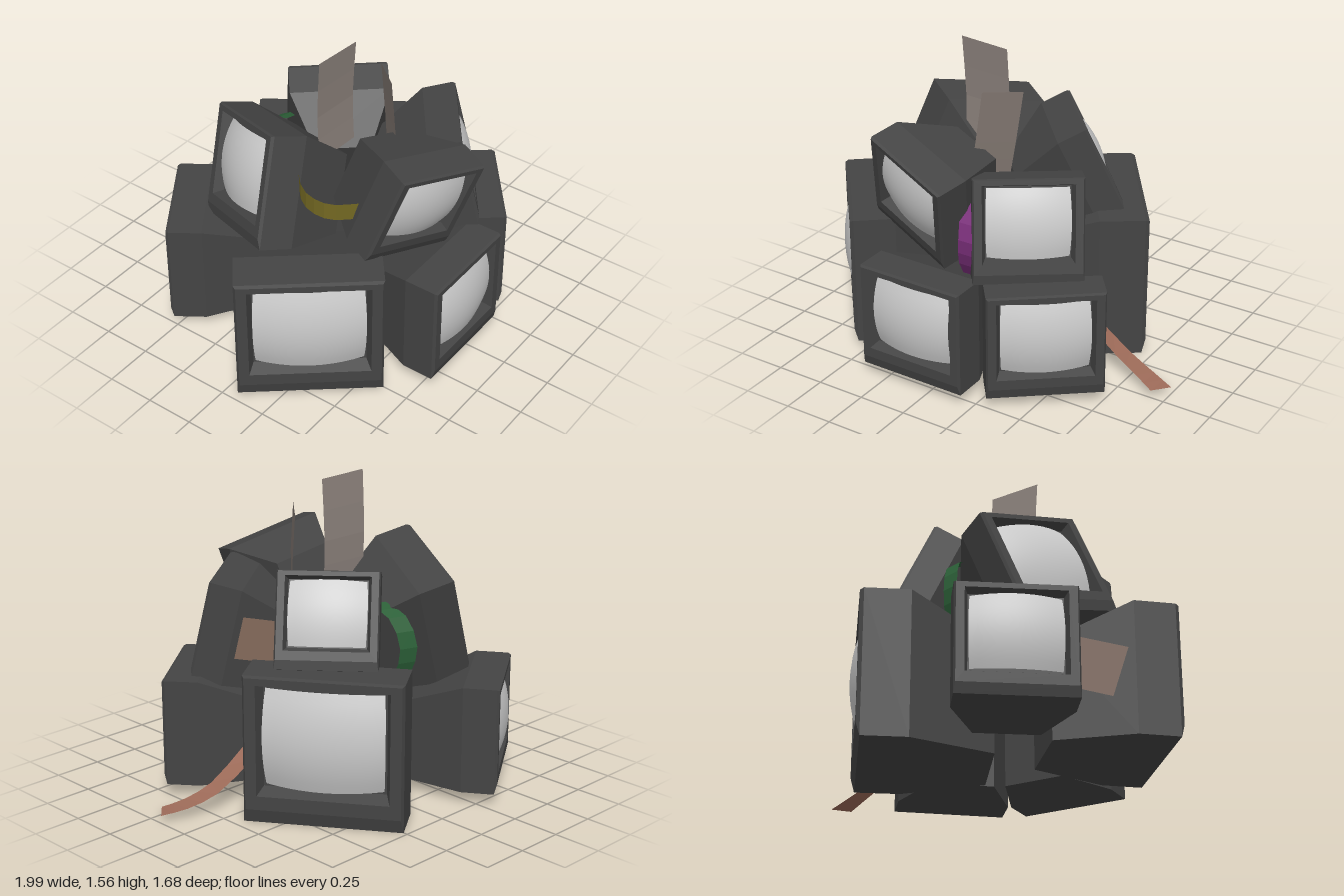
import * as THREE from 'three';

const mat = (color, side = THREE.FrontSide, flatShading = false) =>
  new THREE.MeshStandardMaterial({ color, side, flatShading });
const shellMat = mat(0x444444);
const glassMat = mat(0xcccccc);
const rad = THREE.MathUtils.degToRad;

function mesh(name, geometry, material) {
  const m = new THREE.Mesh(geometry, material);
  m.name = name;
  return m;
}

// Flat-sided skin through rectangles [halfWidth, bottom, top, z], capped at both ends
function rectLoft(rects) {
  const rings = rects.map(([w, b, t, z]) => [[-w, b, z], [w, b, z], [w, t, z], [-w, t, z]]);
  const pos = [];
  const quad = (a, b, c, d) => pos.push(...a, ...b, ...c, ...a, ...c, ...d);
  const first = rings[0], last = rings[rings.length - 1];
  quad(first[3], first[2], first[1], first[0]);
  for (let k = 0; k < rings.length - 1; k++) {
    for (let i = 0; i < 4; i++) {
      const j = (i + 1) % 4;
      quad(rings[k][i], rings[k][j], rings[k + 1][j], rings[k + 1][i]);
    }
  }
  quad(...last);
  const g = new THREE.BufferGeometry();
  g.setAttribute('position', new THREE.Float32BufferAttribute(pos, 3));
  g.computeVertexNormals();
  return g;
}

// Cabinet one unit wide: tapered back, straight front, frame and recess
const cabinetGeo = rectLoft([
  [0.28, -0.48, 0.25, -0.84],
  [0.5, -0.48, 0.48, -0.315],
  [0.5, -0.48, 0.48, -0.025],
  [0.485, -0.39, 0.47, 0],
  [0.415, -0.3, 0.425, 0],
  [0.385, -0.26, 0.4, -0.09],
]);

// Bulging glass with barrel-shaped edges
function screenGeometry() {
  const g = new THREE.PlaneGeometry(2, 2, 10, 10);
  const p = g.attributes.position;
  for (let i = 0; i < p.count; i++) {
    const u = p.getX(i), v = p.getY(i);
    p.setXYZ(i,
      0.37 * u * (1 + 0.035 * (1 - v * v)),
      0.07 + 0.315 * v * (1 + 0.035 * (1 - u * u)),
      -0.09 + 0.125 * (1 - (u * u + v * v) / 2));
  }
  g.computeVertexNormals();
  return g;
}
const screenGeo = screenGeometry();

// Television placed by the centre of its front; angles in degrees
function television(name, [x, y, z], width, yaw, pitch = 0, roll = 0) {
  const g = new THREE.Group();
  g.name = name;
  g.add(mesh('cabinet', cabinetGeo, shellMat), mesh('screen', screenGeo, glassMat));
  g.position.set(x, y, z);
  g.rotation.set(rad(pitch), rad(yaw), rad(roll), 'YXZ');
  g.scale.setScalar(width);
  return g;
}

// Paper patch stuck on the tapered side of a cabinet
function addPatch(tv, side, size, y, roll, color) {
  const p = mesh('patch', new THREE.PlaneGeometry(size, size), mat(color, THREE.DoubleSide));
  p.position.set(side * 0.403, y, -0.57);
  p.rotation.set(0, side * rad(112.7), rad(roll), 'YXZ');
  tv.add(p);
}

// Strip along a curve, swept by a width vector that may turn along the way
function ribbon(name, points, widthStart, widthEnd, color, steps = 8) {
  const curve = new THREE.CatmullRomCurve3(points.map(p => new THREE.Vector3(...p)));
  const w0 = new THREE.Vector3(...widthStart), w1 = new THREE.Vector3(...widthEnd);
  const pos = [], index = [];
  for (let i = 0; i <= steps; i++) {
    const c = curve.getPoint(i / steps);
    const w = w0.clone().lerp(w1, i / steps).multiplyScalar(0.5);
    pos.push(...c.clone().sub(w).toArray(), ...c.add(w).toArray());
    if (i < steps) {
      const a = i * 2;
      index.push(a, a + 1, a + 3, a, a + 3, a + 2);
    }
  }
  const g = new THREE.BufferGeometry();
  g.setAttribute('position', new THREE.Float32BufferAttribute(pos, 3));
  g.setIndex(index);
  g.computeVertexNormals();
  return mesh(name, g, mat(color, THREE.DoubleSide, true));
}

export function createModel() {
  const model = new THREE.Group();
  model.name = 'televisionPile';

  // Lower ring, standing upright
  const lowerLeftSide = television('lowerRightSideTelevision', [-0.775, 0.392, 0.375], 0.71, -50.7);
  model.add(
    television('lowerFrontTelevision', [-0.085, 0.345, 0.82], 0.57, 0),
    television('lowerFrontLeftTelevision', [0.55, 0.345, 0.595], 0.57, 38.5),
    television('lowerBackLeftTelevision', [0.49, 0.385, -0.42], 0.78, 124.5),
    television('lowerBackRightTelevision', [-0.535, 0.345, -0.68], 0.57, -145.8),
    lowerLeftSide,
  );

  // Upper ring, tilted and rolled
  const upperFrontLeft = television('upperFrontLeftTelevision', [0.385, 0.865, 0.49], 0.53, 37, -13, -1);
  model.add(
    television('upperFrontRightTelevision', [-0.21, 0.915, 0.64], 0.52, -19, 13, -15),
    upperFrontLeft,
    television('upperBackLeftTelevision', [0.31, 0.985, -0.27], 0.5, 131, -25),
    television('upperBackRightTelevision', [-0.5, 0.925, -0.265], 0.59, -118.7, -16.3, 15),
  );

  // Patches
  addPatch(upperFrontLeft, 1, 0.42, 0.02, 0, 0x8a6f5f);
  addPatch(lowerLeftSide, -1, 0.36, 0.02, -18, 0x7a6356);

  // Upright panels on top
  model.add(
    ribbon('tallPanel', [[-0.13, 1.0, 0.06], [-0.13, 1.25, 0.05], [-0.135, 1.565, 0.07]],
      [0.26, 0, 0.015], [0.27, -0.01, 0.015], 0x8c827c, 4),
    ribbon('shortPanel', [[0.03, 0.98, 0.275], [0.045, 1.15, 0.25], [0.062, 1.4, 0.212]],
      [0.13, -0.02, -0.15], [0.135, -0.02, -0.155], 0x7c726c, 4),
  );

  // Loose ribbons between the cabinets
  model.add(
    ribbon('purpleRibbon',
      [[0.08, 1.0, 0.44], [0.1, 0.95, 0.56], [0.125, 0.8, 0.63], [0.1, 0.65, 0.59], [0.08, 0.5, 0.48]],
      [0.09, 0, 0], [0.09, 0, 0], 0x7c307c),
    ribbon('greenRibbon',
      [[-0.02, 1.0, -0.28], [-0.04, 0.95, -0.4], [-0.06, 0.8, -0.46], [-0.05, 0.65, -0.42], [-0.03, 0.5, -0.3]],
      [0.09, 0, 0.03], [0.09, 0, 0.03], 0x2c6038),
    ribbon('yellowRibbon',
      [[-0.4, 1.02, 0.02], [-0.49, 0.96, 0.13], [-0.49, 0.94, 0.27], [-0.36, 0.92, 0.39]],
      [0, 0.09, 0], [0, 0.09, 0], 0x736822),
    ribbon('salmonRibbon',
      [[0.32, 0.36, 0.08], [0.5, 0.25, 0.1], [0.7, 0.12, 0.12], [0.85, 0.07, 0.16], [0.965, 0.05, 0.21]],
      [0, 0.04, 0.1], [-0.07, 0, 0.08], 0x9c6a58),
  );
  return model;
}
